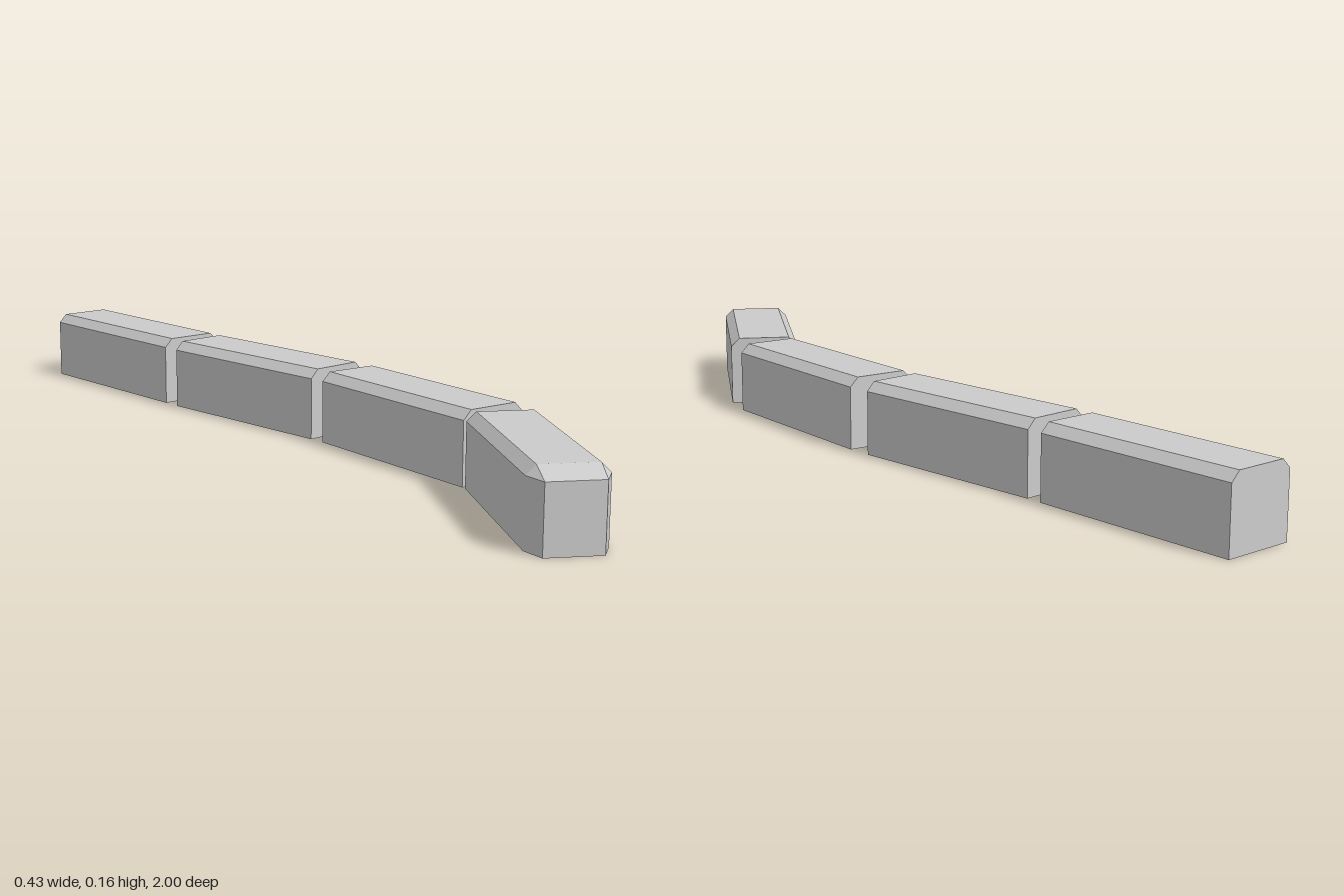
import * as THREE from 'three';

const HALF = 0.08, WALL = 0.14, TOP = 0.16, BEVEL = 0.02, LENGTH = 0.478;

const material = new THREE.MeshStandardMaterial({
  color: 0xcccccc, flatShading: true, side: THREE.DoubleSide,
});

// Open-bottomed cross-section, from the +x sill over the roof to the -x sill
function section(z, half, roofHalf, roofY) {
  const side = [[half, 0], [half, WALL], [roofHalf, roofY]];
  const other = side.map(([x, y]) => [-x, y]).reverse();
  return [...side, ...other].map(([x, y]) => new THREE.Vector3(x, y, z));
}

// Skin a row of sections and close both ends, leaving the underside open
function shell(sections) {
  const points = [];
  for (let i = 0; i < sections.length - 1; i++) {
    const p = sections[i], q = sections[i + 1];
    for (let j = 0; j < p.length - 1; j++) {
      points.push(p[j], p[j + 1], q[j + 1]);
      if (p[j].distanceTo(p[j + 1]) && q[j].distanceTo(q[j + 1])) points.push(p[j], q[j + 1], q[j]);
      else if (q[j].distanceTo(q[j + 1])) points.push(p[j], q[j + 1], q[j]);
    }
  }
  const back = sections[0], front = sections[sections.length - 1];
  for (let j = 1; j < back.length - 1; j++) {
    points.push(back[0], back[j + 1], back[j]);
    if (front[j].distanceTo(front[j + 1])) points.push(front[0], front[j], front[j + 1]);
  }
  const geometry = new THREE.BufferGeometry().setFromPoints(points);
  geometry.computeVertexNormals();
  return geometry;
}

export function createModel() {
  const train = new THREE.Group();
  train.name = 'train';

  const full = (z) => section(z, HALF, HALF - BEVEL, TOP);
  const carriageGeometry = shell([full(0), full(LENGTH)]);
  // The leading car narrows and slopes down at its nose
  const leadGeometry = shell([full(0), full(0.43), section(LENGTH, 0.058, 0.058, WALL)]);
  const couplerGeometry = new THREE.BoxGeometry(0.03, 0.012, 0.09);

  // Rear centre and heading of each car, from the tail to the lead
  const cars = [
    { name: 'tailCarriage', x: 0.116, z: -1, heading: 0 },
    { name: 'secondCarriage', x: 0.115, z: -0.48, heading: 0.052 },
    { name: 'firstCarriage', x: 0.14, z: 0.046, heading: -0.08 },
    { name: 'leadCar', x: 0.088, z: 0.568, heading: -0.555 },
  ];

  cars.forEach(({ name, x, z, heading }, i) => {
    const car = new THREE.Group();
    car.name = name;
    car.position.set(x, 0, z);
    car.rotation.y = heading;
    const isLead = i === cars.length - 1;

    const body = new THREE.Mesh(isLead ? leadGeometry : carriageGeometry, material);
    body.name = 'body';
    car.add(body);

    // Flat bar reaching into the car ahead
    if (!isLead) {
      const coupler = new THREE.Mesh(couplerGeometry, material);
      coupler.name = 'coupler';
      coupler.position.set(-0.003, 0.022, LENGTH + 0.022);
      car.add(coupler);
    }
    train.add(car);
  });

  return train;
}
